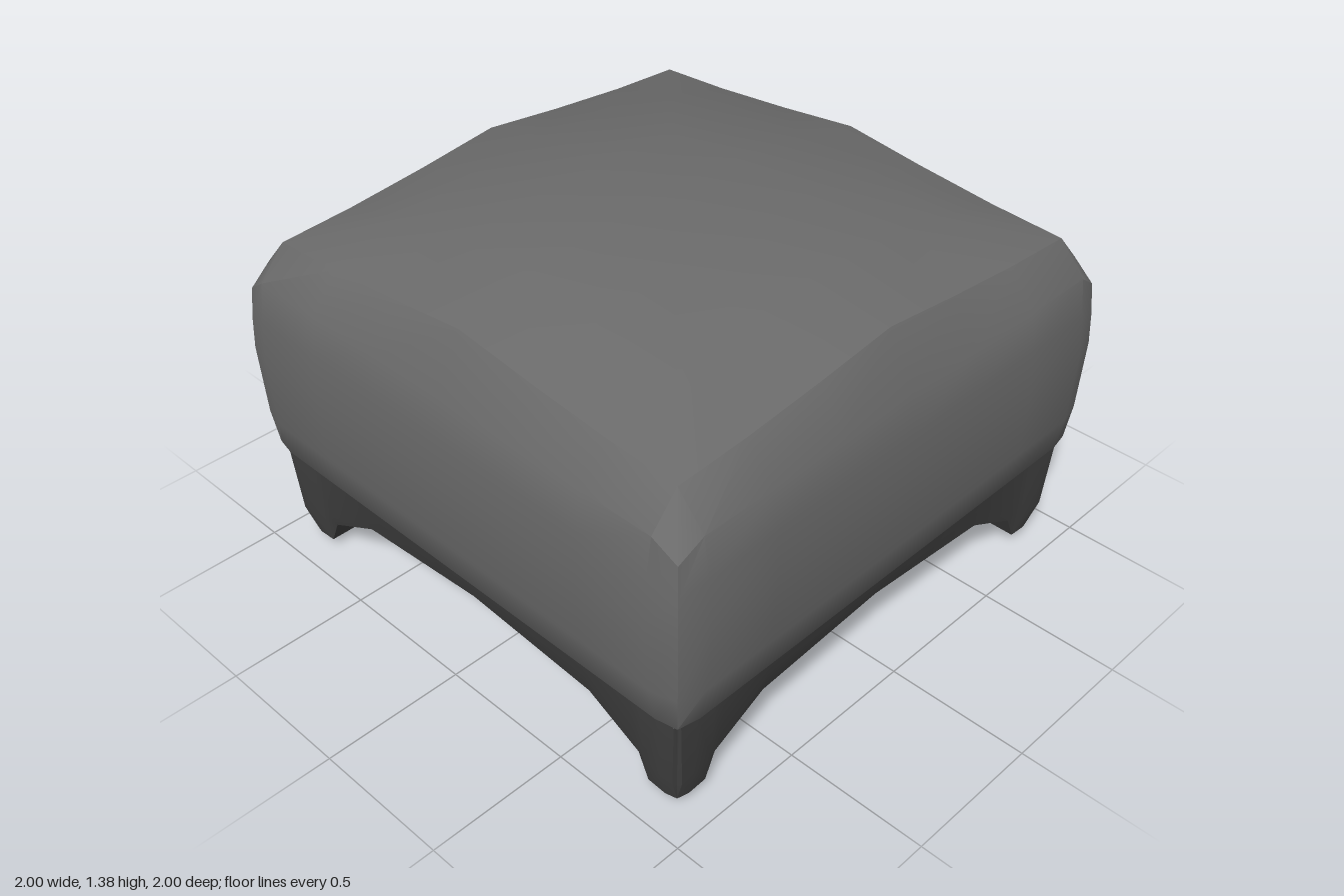
import * as THREE from 'three';
import { toCreasedNormals } from 'three/addons/utils/BufferGeometryUtils.js';

const fabric = new THREE.MeshStandardMaterial({ color: 0x6b6b6b });
fabric.name = 'grey fabric';
const darkBase = new THREE.MeshStandardMaterial({ color: 0x424242 });
darkBase.name = 'dark base';

function makeMesh(name, points, index, material, crease) {
  const geo = new THREE.BufferGeometry();
  geo.setAttribute('position', new THREE.Float32BufferAttribute(points.flat(), 3));
  geo.setIndex(index);
  const mesh = new THREE.Mesh(toCreasedNormals(geo, crease), material);
  mesh.name = name;
  return mesh;
}

// Square grid of n x n points; diagonals mirror in each quadrant
function gridIndex(n, faceUp) {
  const index = [];
  const half = (n - 1) / 2;
  for (let j = 0; j < n - 1; j++) {
    for (let i = 0; i < n - 1; i++) {
      const a = j * n + i, b = a + 1, c = b + n, d = a + n;
      const tris = (i < half) === (j < half)
        ? [[a, c, b], [a, d, c]]
        : [[a, d, b], [b, d, c]];
      for (const [p, q, r] of tris) index.push(...(faceUp ? [p, q, r] : [p, r, q]));
    }
  }
  return index;
}

// Domed seat top: height from the centre profile w and the edge profile v
const T = [-0.87, -0.6, -0.3, 0, 0.3, 0.6, 0.87];
const w = [1, 0.35, 0.08, 0, 0.08, 0.35, 1];
const v = [1, 0.81, 0.45, 0, 0.45, 0.81, 1];
const lift = (i) => 0.1 * w[i] - 0.08 * v[i];
const topHeight = (i, j) => 1.38 - 0.1 * (w[i] + w[j])
  + lift(i) * w[j] + lift(j) * w[i] - lift(0) * w[i] * w[j];

function makeSeatTop() {
  const points = [];
  T.forEach((z, j) => T.forEach((x, i) => points.push([x, topHeight(i, j), z])));
  return makeMesh('seatTop', points, gridIndex(7, true), fabric, 0.6);
}

// Bulging cushion sides: rings of [height, half width, corner, corner height]
function makeCushion() {
  const rings = [
    [0.385, 0.94, 0.925, 0.385],
    [0.41, 0.96, 0.945, 0.41],
    [0.54, 0.985, 0.96, 0.54],
    [0.8, 1.0, 0.97, 0.8],
    [0.95, 0.988, 0.965, 0.92],
    [1.09, 0.968, 0.955, 1.03],
    [null, 0.87, 0.87, 1.2], // meets the edge of the seat top
  ];
  const points = [], index = [];
  const n = 32;
  for (const [y, h, c, cy] of rings) {
    for (let side = 0; side < 4; side++) {
      const row = T.map((t, i) => [t, y ?? topHeight(i, 6), h]);
      row.push([c, cy, c]);
      for (let [x, py, z] of row) {
        for (let k = 0; k < side; k++) [x, z] = [z, -x];
        points.push([x, py, z]);
      }
    }
  }
  for (let r = 0; r < rings.length - 1; r++) {
    for (let i = 0; i < n; i++) {
      const a = r * n + i, b = r * n + (i + 1) % n;
      index.push(a, b, b + n);
      // the last ring has no width at its corners
      if (r < rings.length - 2 || i % 8 < 6) index.push(a, b + n, a + n);
    }
  }
  // underside
  const centre = points.push([0, 0.385, 0]) - 1;
  for (let i = 0; i < n; i++) index.push(centre, (i + 1) % n, i);
  return makeMesh('cushion', points, index, fabric, 0.6);
}

// Arched base with four tapered feet, formed as one sheet seen from below
function makeBase() {
  const X = [0, 0.53, 0.74, 0.78, 0.85, 0.9, 0.92, 0.935];
  const corner = [0.89, 0.905, 0.92]; // eased corners of the three outer rings
  const under = [0.275, 0.235, 0.13, 0.04, 0, 0.005];
  const skirt = [0.32, 0.32, 0.18, 0.15, 0.13, 0.13, 0.13];
  const points = [];
  for (let j = -7; j <= 7; j++) {
    for (let i = -7; i <= 7; i++) {
      const a = Math.abs(i), b = Math.abs(j);
      const lo = Math.min(a, b), hi = Math.max(a, b);
      let y = hi === 7 ? 0.39 : hi === 6 ? skirt[lo] : under[lo];
      if (hi === 5 && lo >= 4) y = 0.035;
      const eased = a === b && a >= 5 ? corner[a - 5] : null;
      points.push([
        Math.sign(i) * (eased ?? X[a]), y, Math.sign(j) * (eased ?? X[b]),
      ]);
    }
  }
  return makeMesh('baseAndFeet', points, gridIndex(15, false), darkBase, 0.5);
}

export function createModel() {
  const model = new THREE.Group();
  model.name = 'footstool';
  model.add(makeSeatTop(), makeCushion(), makeBase());
  return model;
}
